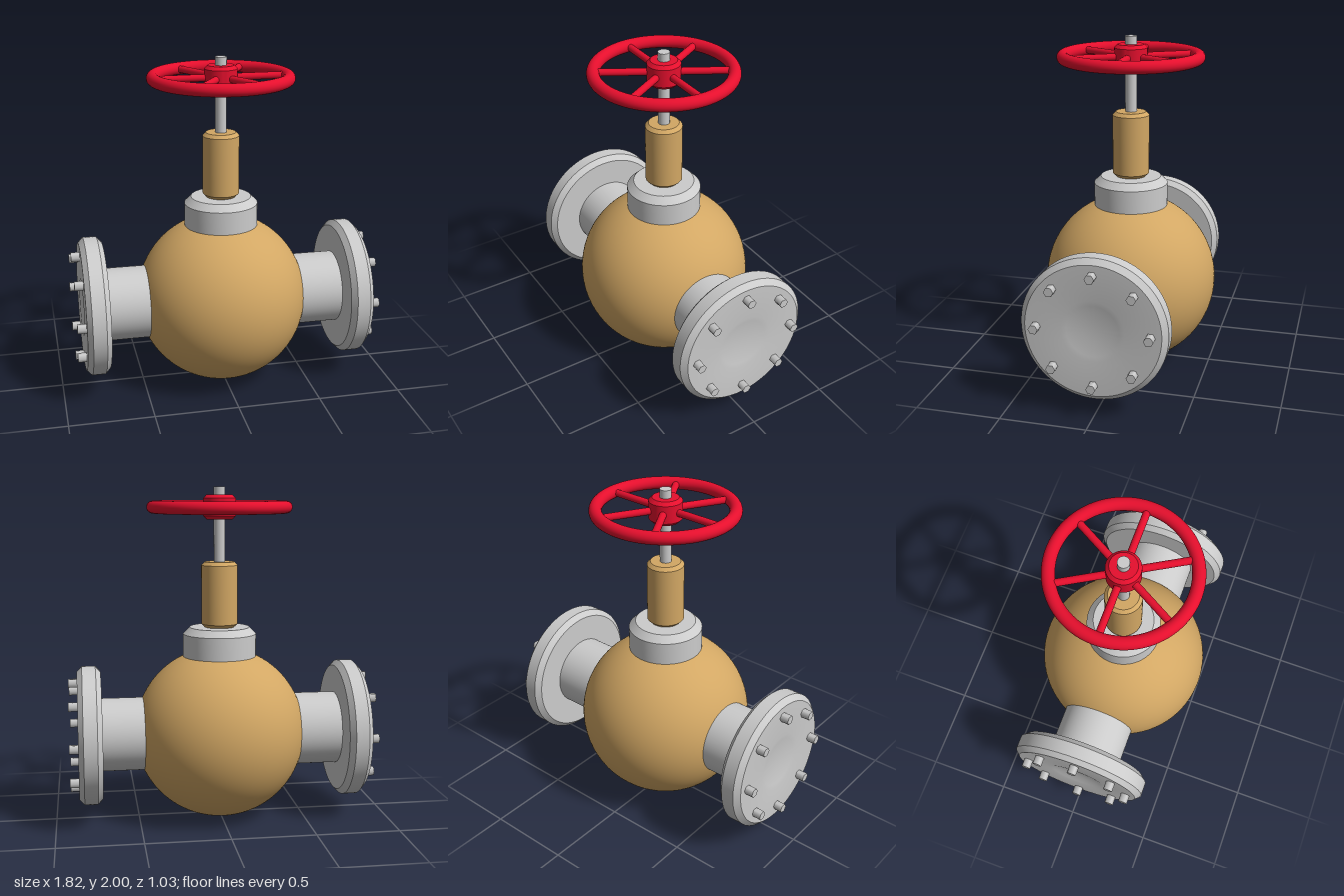
import * as THREE from 'three';
import { toCreasedNormals } from 'three/addons/utils/BufferGeometryUtils.js';

const grey = new THREE.MeshStandardMaterial({ color: 0xcccccc });
const brass = new THREE.MeshStandardMaterial({ color: 0xd2a764 });
const red = new THREE.MeshStandardMaterial({ color: 0xe60f2d });

const CENTRE_Y = 0.52; // height of the pipe axis

function add(parent, name, geometry, material, x = 0, y = 0, z = 0) {
  const mesh = new THREE.Mesh(geometry, material);
  mesh.name = name;
  mesh.position.set(x, y, z);
  parent.add(mesh);
  return mesh;
}

// Turned part from [radius, height] pairs, listed from bottom to top
function turned(points, segments = 64) {
  const profile = points.map(([r, y]) => new THREE.Vector2(r, y));
  return toCreasedNormals(new THREE.LatheGeometry(profile, segments), 0.6);
}

// Solid cylinder with a chamfer at the top and, optionally, at the bottom
function chamfered(radius, y0, y1, top, bottom = 0) {
  const points = [[0, y0], [radius - bottom, y0]];
  if (bottom) points.push([radius, y0 + bottom]);
  points.push([radius, y1 - top], [radius - top, y1], [0, y1]);
  return turned(points);
}

// Pipe, flange and bolts, built along +y and then laid on its side
function createPort(side) {
  const port = new THREE.Group();
  port.name = side > 0 ? 'leftPort' : 'rightPort';
  port.position.y = CENTRE_Y;
  port.rotation.z = -side * Math.PI / 2;

  add(port, 'pipe', new THREE.CylinderGeometry(0.22, 0.22, 0.4, 64), grey, 0, 0.54);

  // Flange with chamfered rims and a shallow dished centre
  const dish = [0.18, 0.15, 0.11, 0.06, 0].map(r => [r, 0.845 + 0.015 * (r / 0.18) ** 2]);
  add(port, 'flange', turned([
    [0, 0.72], [0.385, 0.72], [0.417, 0.75], [0.417, 0.83], [0.385, 0.86], ...dish,
  ], 96), grey);

  // Ring of hexagonal bolt heads
  for (let i = 0; i < 8; i++) {
    const a = i * Math.PI / 4;
    add(port, 'bolt', new THREE.CylinderGeometry(0.028, 0.028, 0.07, 6), grey,
      0.322 * Math.cos(a), 0.877, 0.322 * Math.sin(a));
  }
  return port;
}

function createHandwheel() {
  const wheel = new THREE.Group();
  wheel.name = 'handwheel';
  wheel.position.y = 1.88;

  const rim = new THREE.TorusGeometry(0.395, 0.037, 24, 96);
  add(wheel, 'rim', rim.rotateX(Math.PI / 2), red);
  add(wheel, 'hub', chamfered(0.097, -0.072, 0.072, 0.02, 0.02), red);

  // Six round spokes from hub to rim
  for (let i = 0; i < 6; i++) {
    const spoke = new THREE.CylinderGeometry(0.021, 0.021, 0.32, 20);
    spoke.rotateZ(Math.PI / 2).translate(0.23, 0, 0).rotateY(i * Math.PI / 3);
    add(wheel, 'spoke', spoke, red);
  }
  return wheel;
}

export function createModel() {
  const valve = new THREE.Group();
  valve.name = 'valve';

  // Spherical body and the two pipe connections
  add(valve, 'body', new THREE.SphereGeometry(0.517, 96, 64), brass, 0, CENTRE_Y);
  valve.add(createPort(1), createPort(-1));

  // Bonnet, gland and stem stacked on the body
  add(valve, 'bonnet', chamfered(0.22, 0.9, 1.165, 0.04), grey);
  add(valve, 'gland', chamfered(0.109, 1.165, 1.557, 0.02, 0.02), brass);
  add(valve, 'stem', new THREE.CylinderGeometry(0.034, 0.034, 0.5, 32), grey, 0, 1.75);
  valve.add(createHandwheel());

  return valve;
}
